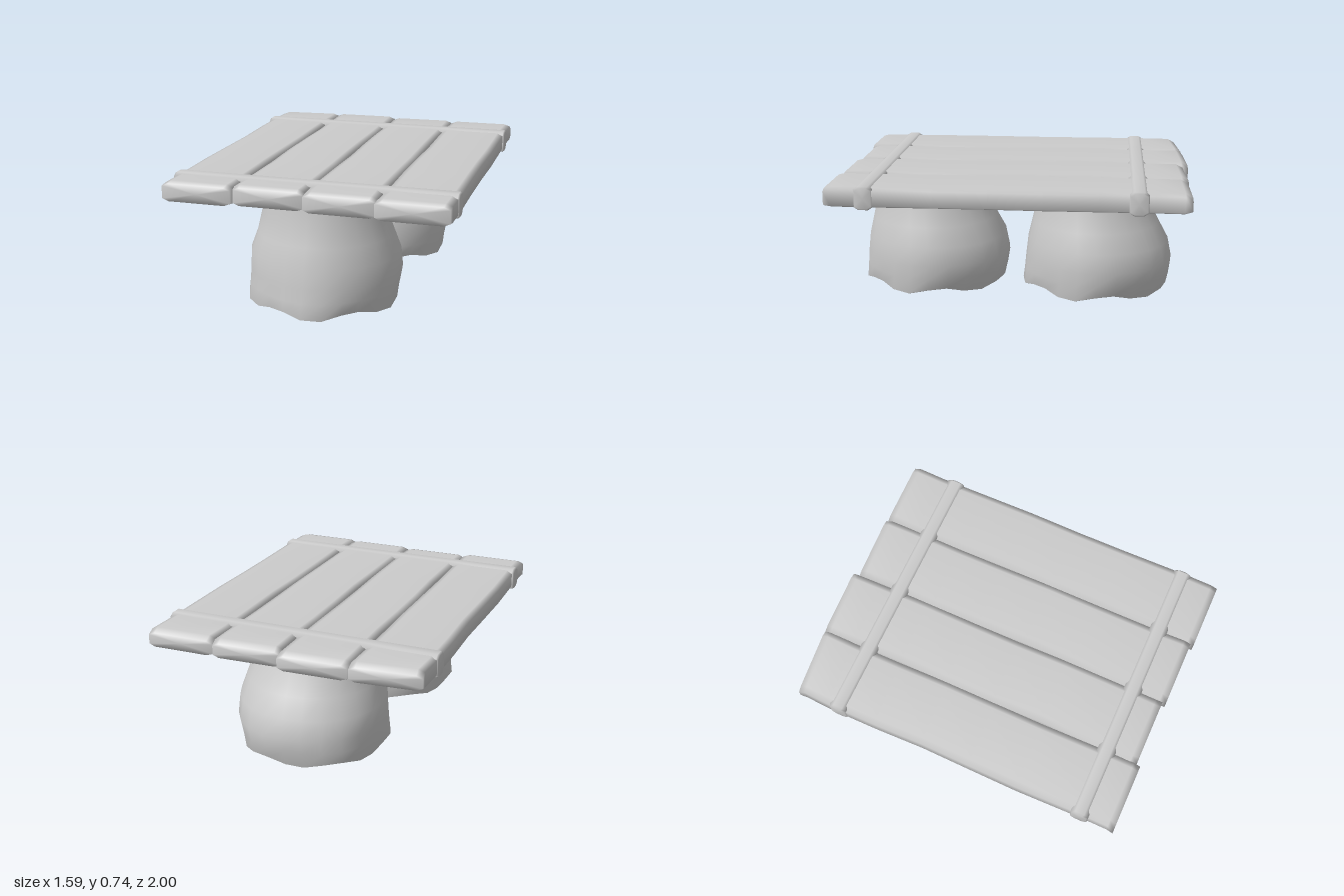
import * as THREE from 'three';

const material = new THREE.MeshStandardMaterial({ color: 0xcccccc, roughness: 0.9 });

// Closed smooth surface through rings of equal length, each running
// counter-clockwise when seen from the last ring's end.
function loft(rings) {
  const n = rings[0].length, pos = [], index = [];
  rings.forEach(r => r.forEach(p => pos.push(...p)));
  for (let i = 0; i < rings.length - 1; i++) {
    for (let j = 0; j < n; j++) {
      const a = i * n + j, b = i * n + (j + 1) % n;
      index.push(a, b, b + n, a, b + n, a + n);
    }
  }
  [0, rings.length - 1].forEach((r, end) => {
    const c = pos.length / 3;
    for (let k = 0; k < 3; k++) pos.push(rings[r].reduce((s, p) => s + p[k], 0) / n);
    for (let j = 0; j < n; j++) {
      const a = r * n + j, b = r * n + (j + 1) % n;
      index.push(c, ...(end ? [a, b] : [b, a]));
    }
  });
  const g = new THREE.BufferGeometry();
  g.setAttribute('position', new THREE.Float32BufferAttribute(pos, 3));
  g.setIndex(index);
  g.computeVertexNormals();
  return g;
}

// Rectangle with chamfered corners
function section(u0, u1, v0, v1, cu, cv) {
  return [
    [u0 + cu, v0], [u1 - cu, v0], [u1, v0 + cv], [u1, v1 - cv],
    [u1 - cu, v1], [u0 + cu, v1], [u0, v1 - cv], [u0, v0 + cv],
  ];
}

// Plank along z with slightly wavy sides and skewed ends
function plankGeometry({ x0, x1, back, front }, seed) {
  const stations = [0, 0.02, 0.1, 0.25, 0.4, 0.55, 0.7, 0.9, 0.98, 1];
  return loft(stations.map((t, i) => {
    const w = 0.005 * Math.sin(i * 1.9 + seed * 2.3);
    const tip = i === 0 || i === stations.length - 1;
    const droop = i === 0 ? 0.022 : tip ? 0.01 : 0;
    const pts = section(x0 + w, x1 + w * 0.6, 0.622 + droop / 2, 0.735 - droop, 0.035, 0.014);
    return pts.map(([x, y]) => {
      const s = (x - x0) / (x1 - x0);
      const zb = back[0] + (back[1] - back[0]) * s;
      return [x, y, zb + (front - zb) * t];
    });
  }));
}

// Crossbar wrapped around the planks, lofted along x
function bandGeometry(z0, z1) {
  return loft([-0.797, -0.785, -0.4, 0, 0.4, 0.78, 0.79].map((x, i, all) => {
    const e = i === 0 || i === all.length - 1 ? 0.007 : 0;
    return section(z0 + e, z1 - e, 0.614 + e, 0.743 - e, 0.025, 0.016)
      .map(([z, y]) => [x, y, z]).reverse();
  }));
}

// Tree-stump leg: each row is y, left x, right x, back z, front z, waviness
function stumpGeometry() {
  const rows = [
    [0.028, -0.34, 0.30, -0.30, 0.34, 0.02],
    [0.018, -0.44, 0.38, -0.40, 0.43, 0.035],
    [0.022, -0.45, 0.39, -0.41, 0.445, 0.035],
    [0.10, -0.45, 0.40, -0.425, 0.44, 0.02],
    [0.18, -0.45, 0.415, -0.435, 0.435, 0.012],
    [0.29, -0.445, 0.405, -0.41, 0.425, 0.006],
    [0.40, -0.40, 0.37, -0.35, 0.40, 0.004],
    [0.51, -0.37, 0.335, -0.295, 0.375, 0.004],
    [0.60, -0.36, 0.32, -0.265, 0.37, 0],
    [0.66, -0.35, 0.31, -0.26, 0.36, 0],
  ];
  const sides = 24;
  return loft(rows.map(([y, l, r, b, f, wave], i) => Array.from({ length: sides }, (_, j) => {
    const a = (j / sides) * Math.PI * 2;
    const k = 1 + wave * Math.cos(5 * a + 1.1);
    // ragged foot
    const dy = i === 1 || i === 2 ? 0.017 * Math.sin(6 * a + 0.6) : 0;
    return [
      (l + r) / 2 + (r - l) / 2 * k * Math.cos(a),
      y + dy,
      (b + f) / 2 - (f - b) / 2 * k * Math.sin(a),
    ];
  })));
}

export function createModel() {
  const model = new THREE.Group();
  model.name = 'bench';
  const add = (name, geometry) => {
    const mesh = new THREE.Mesh(geometry, material);
    mesh.name = name;
    model.add(mesh);
    return mesh;
  };

  // Seat planks
  [
    { x0: -0.788, x1: -0.4, back: [-0.95, -0.985], front: 0.98 },
    { x0: -0.398, x1: -0.005, back: [-0.985, -1.0], front: 0.957 },
    { x0: -0.003, x1: 0.39, back: [-0.963, -0.98], front: 0.977 },
    { x0: 0.392, x1: 0.782, back: [-0.97, -0.977], front: 0.995 },
  ].forEach((p, i) => add(`plank${i + 1}`, plankGeometry(p, i)));

  // Crossbars
  add('frontBand', bandGeometry(0.725, 0.828));
  add('backBand', bandGeometry(-0.75, -0.645));

  // Stump legs
  const stump = stumpGeometry();
  add('frontStump', stump).position.set(-0.005, 0, 0.49);
  add('backStump', stump).position.set(0.05, 0, -0.485);

  return model;
}
